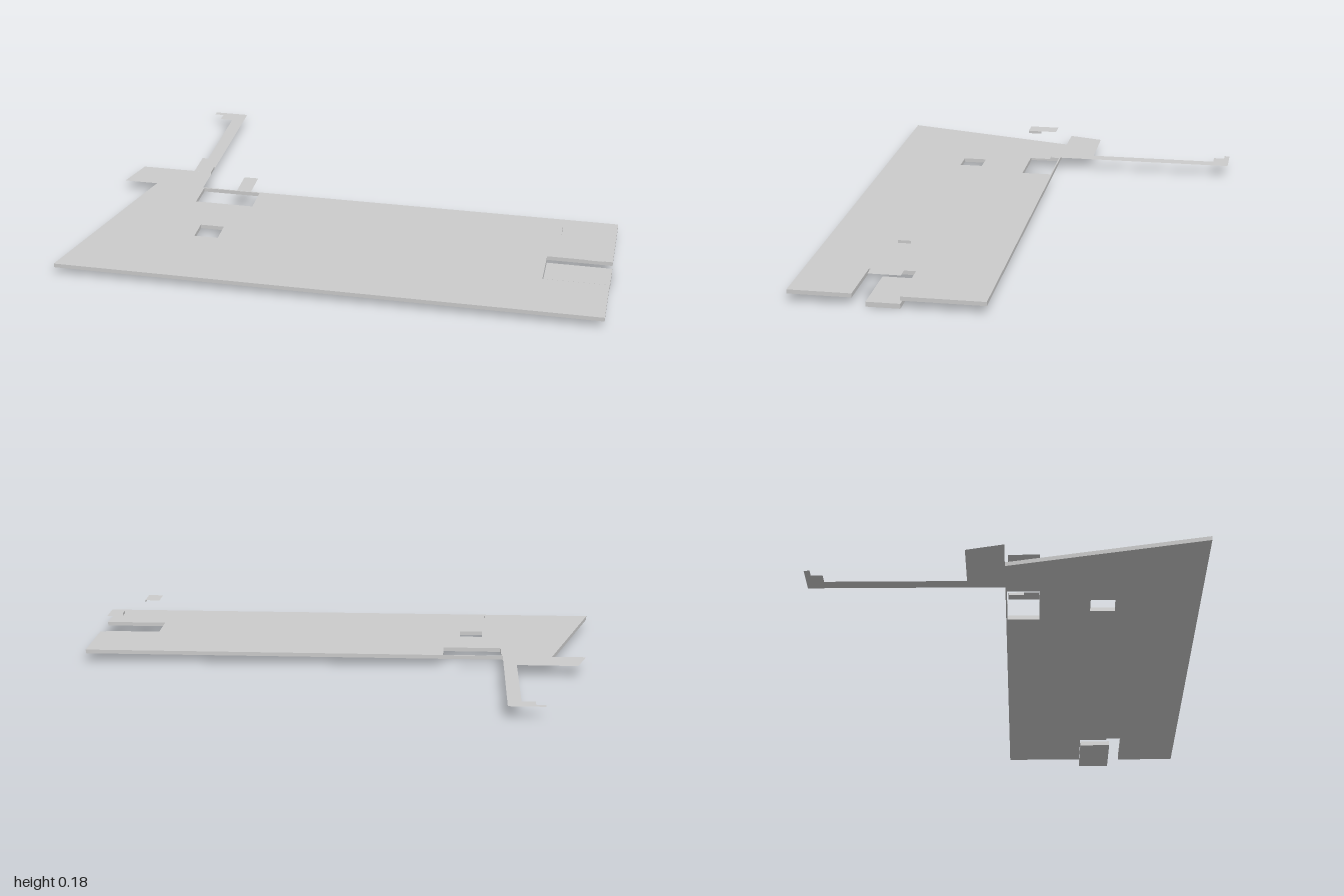
import * as THREE from 'three';

const grey = new THREE.MeshStandardMaterial({ color: 0xcccccc, flatShading: true });
const thin = new THREE.MeshStandardMaterial({ color: 0xcccccc, flatShading: true, side: THREE.DoubleSide });

// Plan outlines are given as [x, z]; shape y is -z so that it lies flat facing up.
const toPoints = (list) => list.map(([x, z]) => new THREE.Vector2(x, -z));
const rect = (x0, x1, z0, z1) => [[x0, z0], [x1, z0], [x1, z1], [x0, z1]];

function part(name, geometry, material, y) {
  const mesh = new THREE.Mesh(geometry.rotateX(-Math.PI / 2).translate(0, y, 0), material);
  mesh.name = name;
  return mesh;
}

function slab(name, outline, holes, y0, y1) {
  const shape = new THREE.Shape(toPoints(outline));
  for (const h of holes) shape.holes.push(new THREE.Path(toPoints(h)));
  const geometry = new THREE.ExtrudeGeometry(shape, { depth: y1 - y0, bevelEnabled: false });
  return part(name, geometry, grey, y0);
}

function sheet(name, outline, y) {
  return part(name, new THREE.ShapeGeometry(new THREE.Shape(toPoints(outline))), thin, y);
}

// Floating thin plate with a short lip hanging from one side edge
function lippedPlate(name, [x0, x1], [z0, z1], y, lipX, [l0, l1]) {
  const group = new THREE.Group();
  group.name = name;
  group.add(sheet('plateTop', rect(x0, x1, z0, z1), y));
  const lip = new THREE.Mesh(new THREE.PlaneGeometry(l1 - l0, 0.01), thin);
  lip.rotation.y = Math.PI / 2;
  lip.position.set(lipX, y - 0.005, (l0 + l1) / 2);
  lip.name = 'plateLip';
  group.add(lip);
  return group;
}

export function createModel() {
  const model = new THREE.Group();
  model.name = 'floorPlan';

  // Main floor with a slanted side, a side notch and two openings
  model.add(slab('mainFloor',
    [[-1, 0.7], [1, 0.7], [1, 0.47], [0.76, 0.47], [0.76, 0.3], [1, 0.3], [1, 0], [-0.82, 0]],
    [rect(-0.625, -0.4, 0.005, 0.122), rect(-0.555, -0.465, 0.305, 0.395)],
    0.03, 0.045));

  // Lower landing under the notch
  model.add(slab('lowerLanding', rect(0.76, 1, 0.3, 0.422), [], 0, 0.018));

  // Paper-thin walkway running out behind the floor
  model.add(sheet('walkway',
    [[-0.95, 0], [-0.912, -0.135], [-0.68, -0.135], [-0.68, -0.64], [-0.73, -0.64],
      [-0.73, -0.682], [-0.765, -0.682], [-0.765, -0.703], [-0.63, -0.703], [-0.63, 0]],
    0.045));

  // Pairs of plates above the two stair openings
  model.add(lippedPlate('rightUpperPlate', [-0.625, -0.56], [0.008, 0.123], 0.178, -0.56, [0.07, 0.123]));
  model.add(lippedPlate('rightLowerPlate', [-0.458, -0.403], [0.008, 0.123], 0.11, -0.458, [0.01, 0.065]));
  model.add(lippedPlate('leftUpperPlate', [0.754, 0.812], [0.303, 0.398], 0.178, 0.812, [0.303, 0.35]));
  model.add(lippedPlate('leftLowerPlate', [0.915, 0.97], [0.303, 0.42], 0.11, 0.915, [0.355, 0.4]));

  return model;
}
